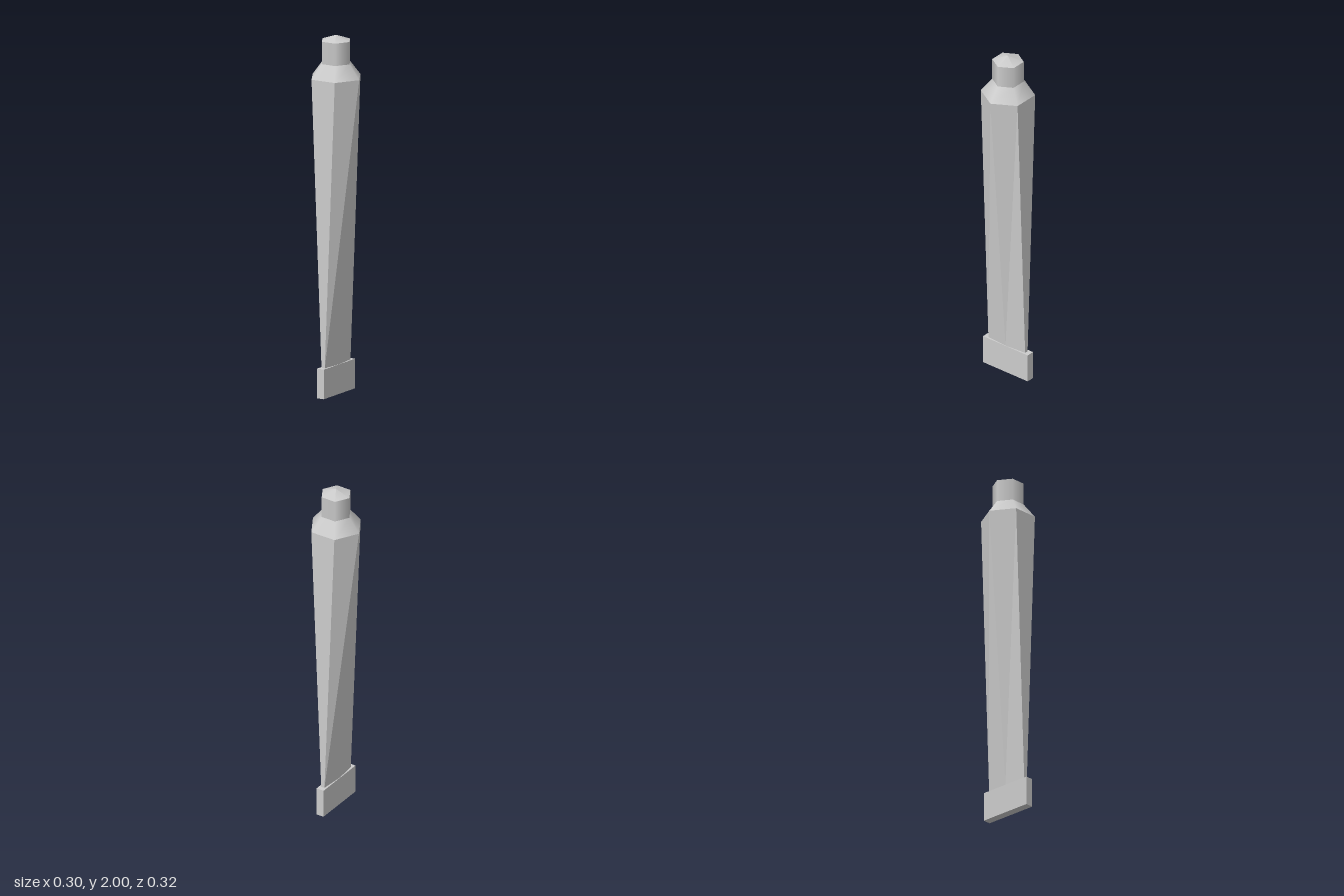
import * as THREE from 'three';

const SIDES = 6;

export function createModel() {
  const group = new THREE.Group();
  const smooth = new THREE.MeshStandardMaterial({ color: 0xcccccc });
  const flat = new THREE.MeshStandardMaterial({ color: 0xcccccc, flatShading: true });

  const add = (name, geometry, material) => {
    const mesh = new THREE.Mesh(geometry, material);
    mesh.name = name;
    group.add(mesh);
  };

  // Hexagonal section between two heights, with a corner on the x axis
  const hex = (rTop, rBottom, y0, y1, open) =>
    new THREE.CylinderGeometry(rTop, rBottom, y1 - y0, SIDES, 1, open, Math.PI / 2)
      .translate(0, (y0 + y1) / 2, 0);

  // Flat blade tip at the foot
  add('bladeTip', new THREE.BoxGeometry(0.046, 0.165, 0.316).translate(0, 0.0825, 0), flat);

  // Shaft: constant depth, narrowing only in x towards the foot
  const y0 = 0.165, y1 = 1.765;
  const shaft = hex(0.15, 0.15, y0, y1, false);
  const p = shaft.attributes.position;
  for (let i = 0; i < p.count; i++) {
    const t = (p.getY(i) - y0) / (y1 - y0);
    p.setX(i, p.getX(i) * THREE.MathUtils.lerp(0.14, 1, t));
  }
  add('shaft', shaft, flat);

  // Shoulder, neck and low pointed cap
  add('shoulder', hex(0.087, 0.15, 1.765, 1.845, true), smooth);
  add('neck', hex(0.087, 0.087, 1.845, 1.97, true), smooth);
  add('cap', hex(0, 0.087, 1.97, 2, true), smooth);

  return group;
}
